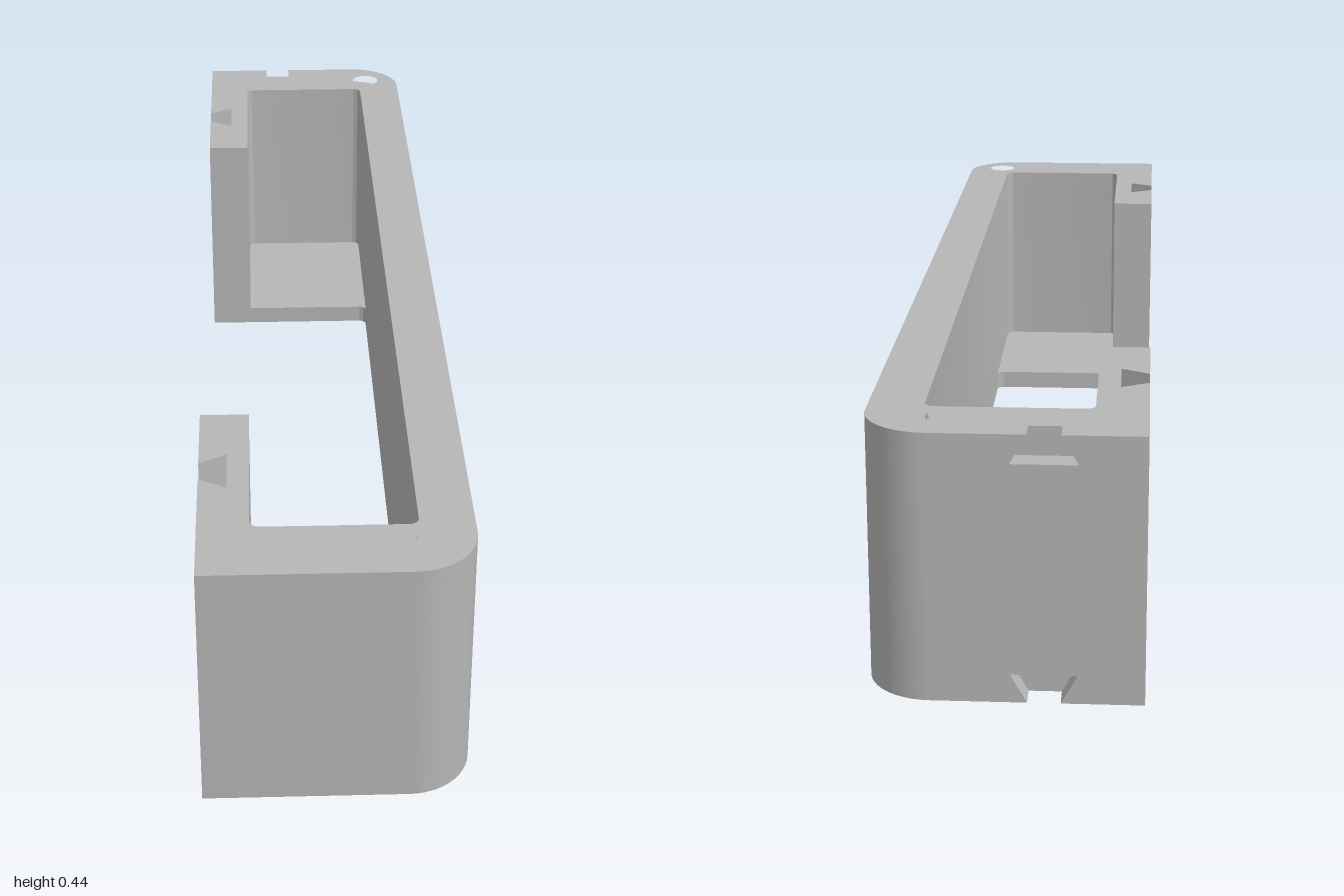
import * as THREE from 'three';
import { toCreasedNormals } from 'three/addons/utils/BufferGeometryUtils.js';

const BOTTOM = 0.02, FLOOR = 0.055, HOLE = 0.41, TOP = 0.44;
const NOTCH_X = -0.06, PIN_X = 0.14, PIN_Z = 0.93;

// Closed shape from [x, y, radius] corners; rounded corners are right angles.
function roundedShape(corners) {
  const shape = new THREE.Shape();
  const n = corners.length;
  corners.forEach(([x, y, r = 0], i) => {
    const toward = ([px, py], d) => {
      const l = Math.hypot(px - x, py - y);
      return [x + ((px - x) / l) * d, y + ((py - y) / l) * d];
    };
    const prev = corners[(i + n - 1) % n], next = corners[(i + 1) % n];
    const start = toward(prev, r);
    if (i === 0) shape.moveTo(...start); else shape.lineTo(...start);
    if (r) shape.bezierCurveTo(...toward(prev, r * 0.4477), ...toward(next, r * 0.4477), ...toward(next, r));
  });
  shape.closePath();
  return shape;
}

// Plan of one layer: a half outline (outer corner to inner corner) mirrored in z.
// Shape y is -z, so the front half is negative and the back half positive.
function plan(half) {
  const front = half.map(([x, z, r]) => [x, -z, r]);
  const back = half.slice().reverse();
  // recess in the end wall that receives the notched plate
  back.splice(back.length - 1, 0,
    [NOTCH_X - 0.07, 1], [NOTCH_X - 0.07, 0.96], [NOTCH_X + 0.07, 0.96], [NOTCH_X + 0.07, 1]);
  return roundedShape([...front, ...back]);
}

export function createModel() {
  const model = new THREE.Group();
  model.name = 'bracket';
  const grey = new THREE.MeshStandardMaterial({ color: 0xb6b6b6 });
  grey.name = 'grey';

  const add = (name, geometry) => {
    const mesh = new THREE.Mesh(toCreasedNormals(geometry, 0.5), grey);
    mesh.name = name;
    model.add(mesh);
    return mesh;
  };
  const layer = (name, shape, y0, y1) => {
    const g = new THREE.ExtrudeGeometry(shape, { depth: y1 - y0, bevelEnabled: false, curveSegments: 14 });
    add(name, g.rotateX(-Math.PI / 2).translate(0, y0, 0));
  };

  // Thin floor under the back bar and both arms
  layer('floor', plan([
    [0.21, 1, 0.1], [-0.21, 1], [-0.21, 0.55], [0.125, 0.55, 0.015],
  ]), BOTTOM, FLOOR);

  // Walls around the open pockets, with a dovetail slot in each arm
  const walls = [
    [0.21, 1, 0.1], [-0.21, 1],
    [-0.21, 0.743], [-0.165, 0.768], [-0.165, 0.672], [-0.21, 0.697],
    [-0.21, 0.55], [-0.13, 0.55], [-0.13, 0.877, 0.015], [0.125, 0.877, 0.015],
  ];
  layer('walls', plan(walls), FLOOR, HOLE);

  // Upper rim with the pin sockets
  const rim = plan(walls);
  for (const s of [-1, 1]) {
    const hole = new THREE.Path();
    hole.absarc(PIN_X, s * PIN_Z, 0.028, 0, Math.PI * 2, true);
    rim.holes.push(hole);
  }
  layer('rim', rim, HOLE, TOP);

  // Plate in the back end wall with a dovetail notch at top and bottom
  const profile = [
    [-0.07, BOTTOM], [-0.025, BOTTOM], [-0.05, BOTTOM + 0.045],
    [0.05, BOTTOM + 0.045], [0.025, BOTTOM], [0.07, BOTTOM],
    [0.07, TOP], [0.025, TOP], [0.05, TOP - 0.045],
    [-0.05, TOP - 0.045], [-0.025, TOP], [-0.07, TOP],
  ].map(([x, y]) => [x + NOTCH_X, y]);
  const plate = new THREE.ExtrudeGeometry(roundedShape(profile), { depth: 0.04, bevelEnabled: false });
  add('notchedPlate', plate.translate(0, 0, -1));

  // Locating pins under the rounded corners
  const pin = [[0, 0], [0.017, 0], [0.02, 0.004], [0.02, 0.03]].map(([x, y]) => new THREE.Vector2(x, y));
  for (const s of [-1, 1]) {
    add('pin', new THREE.LatheGeometry(pin, 28)).position.set(PIN_X, 0, s * PIN_Z);
  }
  return model;
}
